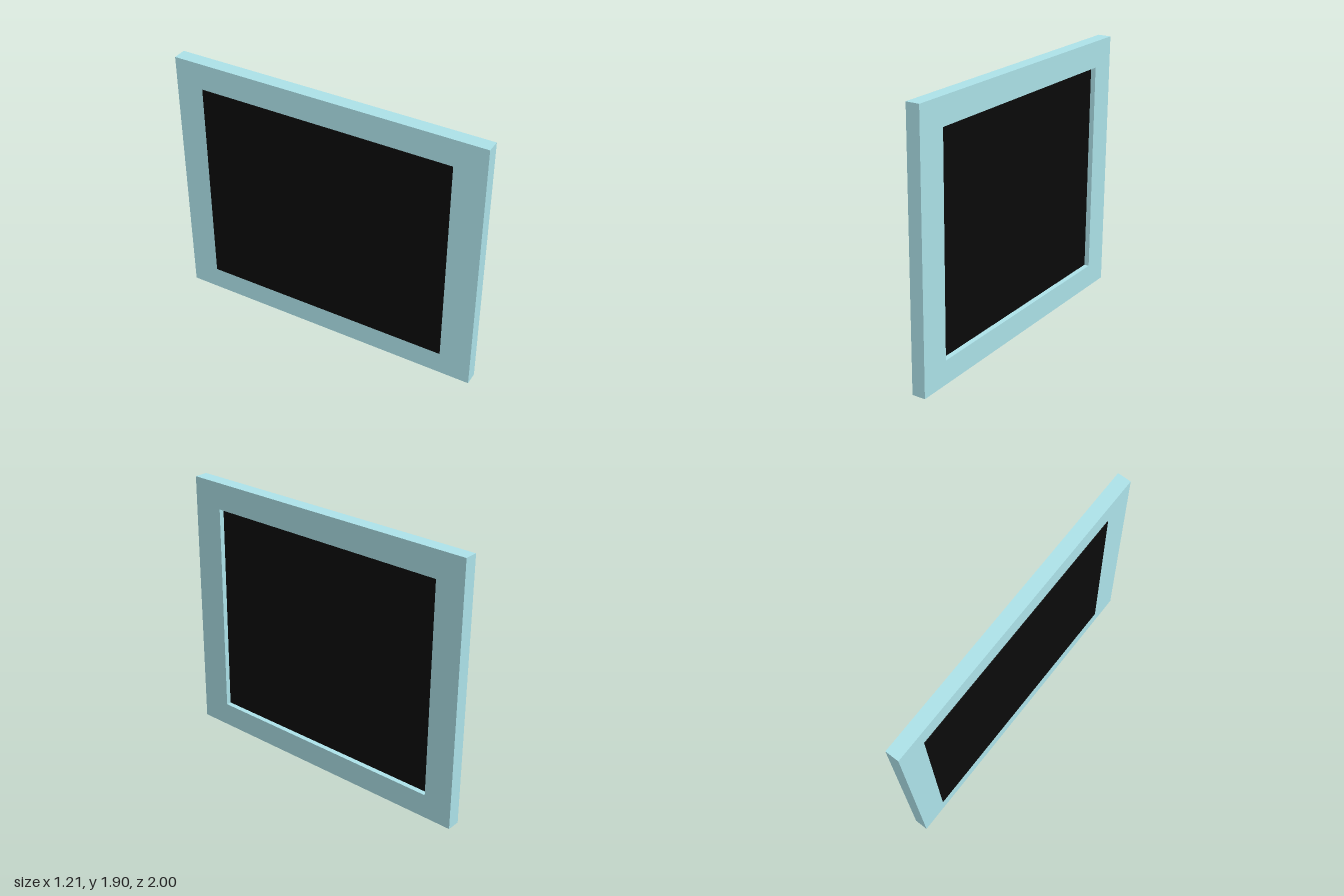
import * as THREE from 'three';

const LENGTH = 2.235, HEIGHT = 1.878, DEPTH = 0.096;
// opening, slightly off centre in the frame
const OPEN = { w: 1.81, h: 1.52, x: -0.009, y: -0.009 };

function rectangle(target, w, h, x = 0, y = 0) {
  target.moveTo(x - w / 2, y - h / 2);
  target.lineTo(x + w / 2, y - h / 2);
  target.lineTo(x + w / 2, y + h / 2);
  target.lineTo(x - w / 2, y + h / 2);
  target.closePath();
  return target;
}

export function createModel() {
  const model = new THREE.Group();
  model.name = 'framedPanel';

  // rectangular frame with an opening
  const outline = rectangle(new THREE.Shape(), LENGTH, HEIGHT);
  outline.holes.push(rectangle(new THREE.Path(), OPEN.w, OPEN.h, OPEN.x, OPEN.y));
  const frameGeometry = new THREE.ExtrudeGeometry(outline, { depth: DEPTH, bevelEnabled: false });
  frameGeometry.translate(0, 0, -DEPTH / 2);
  const frame = new THREE.Mesh(frameGeometry, new THREE.MeshStandardMaterial({ color: 0xaee4eb }));
  frame.name = 'frame';

  // dark panel: just proud of the front, recessed at the back
  const front = DEPTH / 2 + 0.005, back = -DEPTH / 2 + 0.036;
  const panel = new THREE.Mesh(
    new THREE.BoxGeometry(OPEN.w, OPEN.h, front - back),
    new THREE.MeshStandardMaterial({ color: 0x0a0a0a })
  );
  panel.name = 'panel';
  panel.position.set(OPEN.x, OPEN.y, (front + back) / 2);

  // turned to one side and leaning back a little
  const board = new THREE.Group();
  board.name = 'board';
  board.add(frame, panel);
  board.rotation.set(-0.0125, THREE.MathUtils.degToRad(-59.7), 0);
  board.position.y = 0.952;
  model.add(board);
  return model;
}
